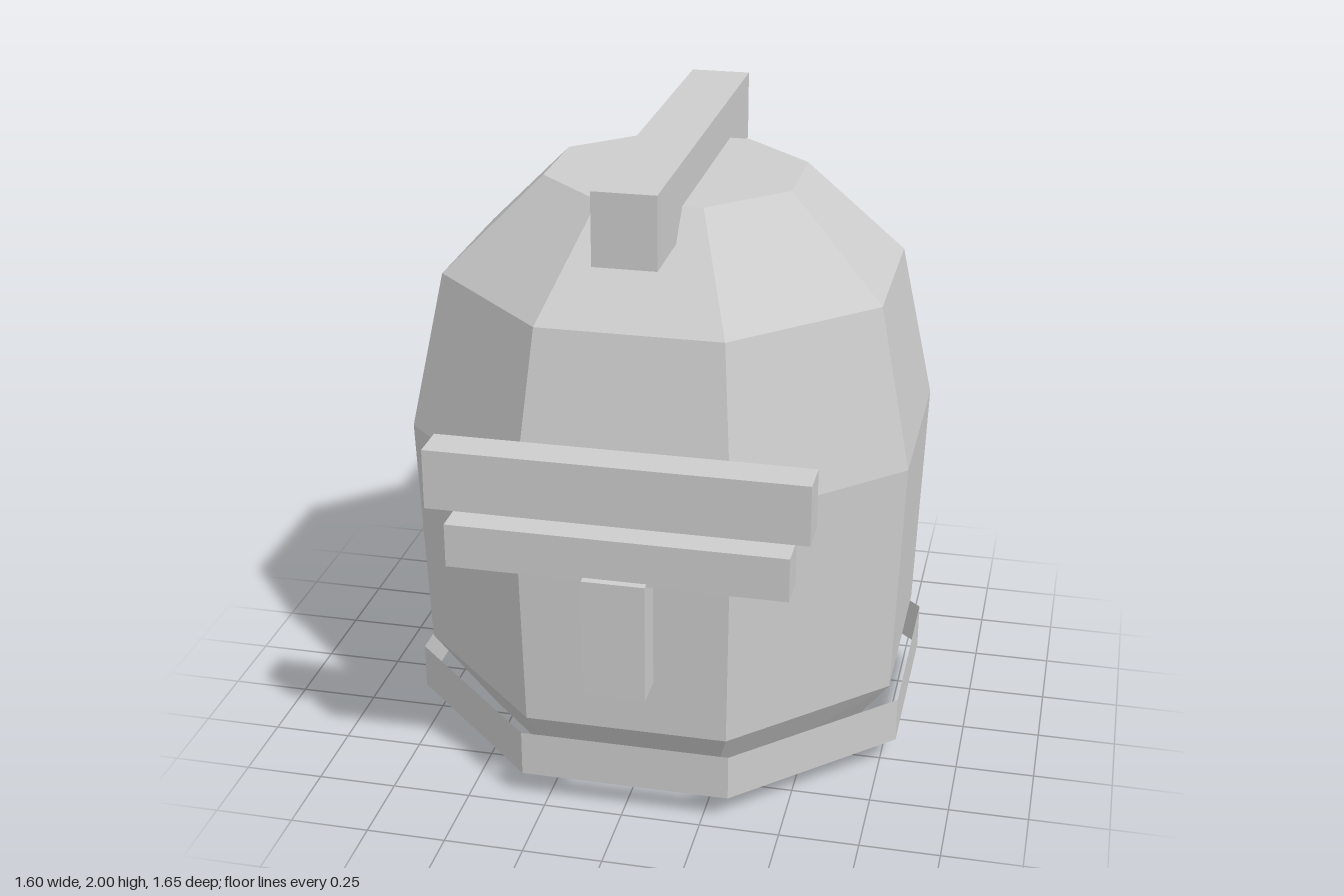
import * as THREE from 'three';

const SIDES = 8;
const CENTRE_Z = -0.06;

// Octagonal shell from rings of [y, half width, half depth]
function octagonShell(rings, capped) {
  const pos = [];
  const k = 1 / Math.cos(Math.PI / SIDES); // flat-to-flat half size -> corner radius
  const corner = ([y, hx, hz], i) => {
    const a = ((i + 0.5) * 2 * Math.PI) / SIDES;
    return [Math.sin(a) * hx * k, y, CENTRE_Z + Math.cos(a) * hz * k];
  };
  const first = rings[0];
  const last = rings[rings.length - 1];
  for (let i = 0; i < SIDES; i++) {
    for (let r = 0; r < rings.length - 1; r++) {
      const a = corner(rings[r], i), b = corner(rings[r], i + 1);
      const c = corner(rings[r + 1], i + 1), d = corner(rings[r + 1], i);
      pos.push(...a, ...b, ...c, ...a, ...c, ...d);
    }
    if (capped) {
      pos.push(0, last[0], CENTRE_Z, ...corner(last, i), ...corner(last, i + 1));
      pos.push(0, first[0], CENTRE_Z, ...corner(first, i + 1), ...corner(first, i));
    }
  }
  const geo = new THREE.BufferGeometry();
  geo.setAttribute('position', new THREE.Float32BufferAttribute(pos, 3));
  geo.computeVertexNormals();
  return geo;
}

export function createModel() {
  const model = new THREE.Group();
  model.name = 'canister';

  const grey = new THREE.MeshStandardMaterial({ color: 0xcccccc, flatShading: true, side: THREE.DoubleSide });
  grey.name = 'light grey';

  const add = (name, geo) => {
    const mesh = new THREE.Mesh(geo, grey);
    mesh.name = name;
    model.add(mesh);
  };

  // Box centred on x, given by half width and its y and z ranges
  const addBar = (name, halfX, y0, y1, z0, z1) => {
    const geo = new THREE.BoxGeometry(halfX * 2, y1 - y0, z1 - z0);
    geo.translate(0, (y0 + y1) / 2, (z0 + z1) / 2);
    add(name, geo);
  };

  // Faceted body: tapered foot, belly, shoulder and flat top
  add('body', octagonShell([
    [0, 0.58, 0.583],
    [0.275, 0.77, 0.747],
    [1.05, 0.797, 0.768],
    [1.56, 0.692, 0.66],
    [1.865, 0.39, 0.37],
  ], true));

  // Open thin band around the foot
  add('baseBand', octagonShell([[0.083, 0.8, 0.77], [0.232, 0.8, 0.77]], false));

  // Ridge across the top, running front to back
  addBar('topRidge', 0.097, 1.775, 2, -0.755, 0.64);

  // Bars on the front
  addBar('upperFrontBar', 0.58, 1.035, 1.225, 0.68, 0.8);
  addBar('lowerFrontBar', 0.522, 0.847, 0.987, 0.68, 0.8);
  addBar('frontPost', 0.097, 0.472, 0.857, 0.715, 0.825);

  return model;
}
